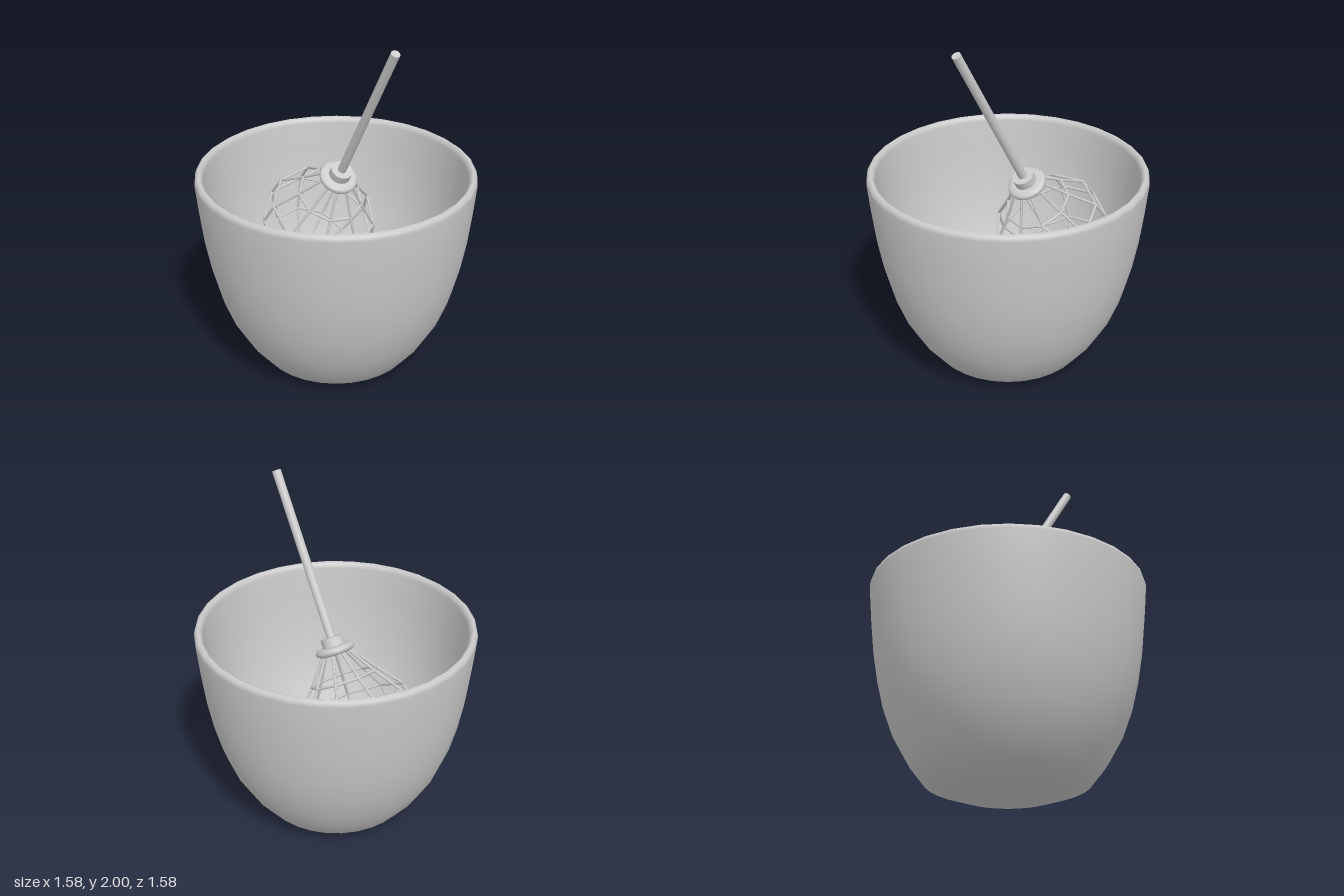
import * as THREE from 'three';

const material = new THREE.MeshStandardMaterial({ color: 0xcccccc });

function addMesh(parent, name, geometry) {
  const mesh = new THREE.Mesh(geometry, material);
  mesh.name = name;
  parent.add(mesh);
  return mesh;
}

function lathe(points, segments) {
  return new THREE.LatheGeometry(points.map(([r, y]) => new THREE.Vector2(r, y)), segments);
}

// Straight thin rod between two points
function addRod(parent, name, a, b, radius) {
  const dir = b.clone().sub(a);
  const rod = addMesh(parent, name, new THREE.CylinderGeometry(radius, radius, dir.length(), 6));
  rod.position.copy(a).add(b).multiplyScalar(0.5);
  rod.quaternion.setFromUnitVectors(new THREE.Vector3(0, 1, 0), dir.normalize());
}

function createWhisk() {
  const whisk = new THREE.Group();
  whisk.name = 'whisk';

  // Handle and stepped collar, along the whisk's own y axis
  const length = 1.024;
  addMesh(whisk, 'handle', new THREE.CylinderGeometry(0.025, 0.025, length, 16)).position.y = length / 2;
  addMesh(whisk, 'collarNeck', new THREE.CylinderGeometry(0.062, 0.062, 0.07, 24)).position.y = 0.035;
  addMesh(whisk, 'collarFlange', lathe([
    [0, -0.025], [0.09, -0.025], [0.108, -0.015], [0.112, 0], [0.105, 0.014], [0.085, 0.02], [0.06, 0.02],
  ], 24));

  // Wire cage: nine ribs joined by rings, meeting at the tip
  const ribs = 9;
  const stations = [[0.07, -0.01], [0.19, -0.17], [0.31, -0.31], [0.335, -0.45], [0.24, -0.64], [0, -0.86]];
  const cage = new THREE.Group();
  cage.name = 'wireCage';
  whisk.add(cage);
  const corner = ([r, y], i) => {
    const a = (i / ribs) * Math.PI * 2;
    return new THREE.Vector3(r * Math.cos(a), y, r * Math.sin(a));
  };
  for (let i = 0; i < ribs; i++) {
    for (let j = 0; j < stations.length - 1; j++) {
      addRod(cage, 'ribWire', corner(stations[j], i), corner(stations[j + 1], i), 0.008);
      if (j > 0) addRod(cage, 'ringWire', corner(stations[j], i), corner(stations[j], i + 1), 0.008);
    }
  }

  whisk.position.set(0.07, 1.1, -0.08);
  whisk.rotation.x = Math.PI / 6;
  return whisk;
}

export function createModel() {
  const model = new THREE.Group();
  model.name = 'bowlWithWhisk';

  // Bowl profile: up the outside, over the rounded rim, down the inside
  addMesh(model, 'bowl', lathe([
    [0, 0], [0.29, 0.008], [0.45, 0.065], [0.54, 0.18], [0.62, 0.32], [0.68, 0.48],
    [0.72, 0.64], [0.75, 0.81], [0.772, 1.0], [0.788, 1.17], [0.782, 1.193], [0.765, 1.205],
    [0.748, 1.195], [0.74, 1.17], [0.728, 1.0], [0.707, 0.81], [0.678, 0.65], [0.638, 0.49],
    [0.58, 0.34], [0.505, 0.21], [0.42, 0.105], [0.28, 0.05], [0, 0.04],
  ], 32));

  model.add(createWhisk());
  return model;
}
